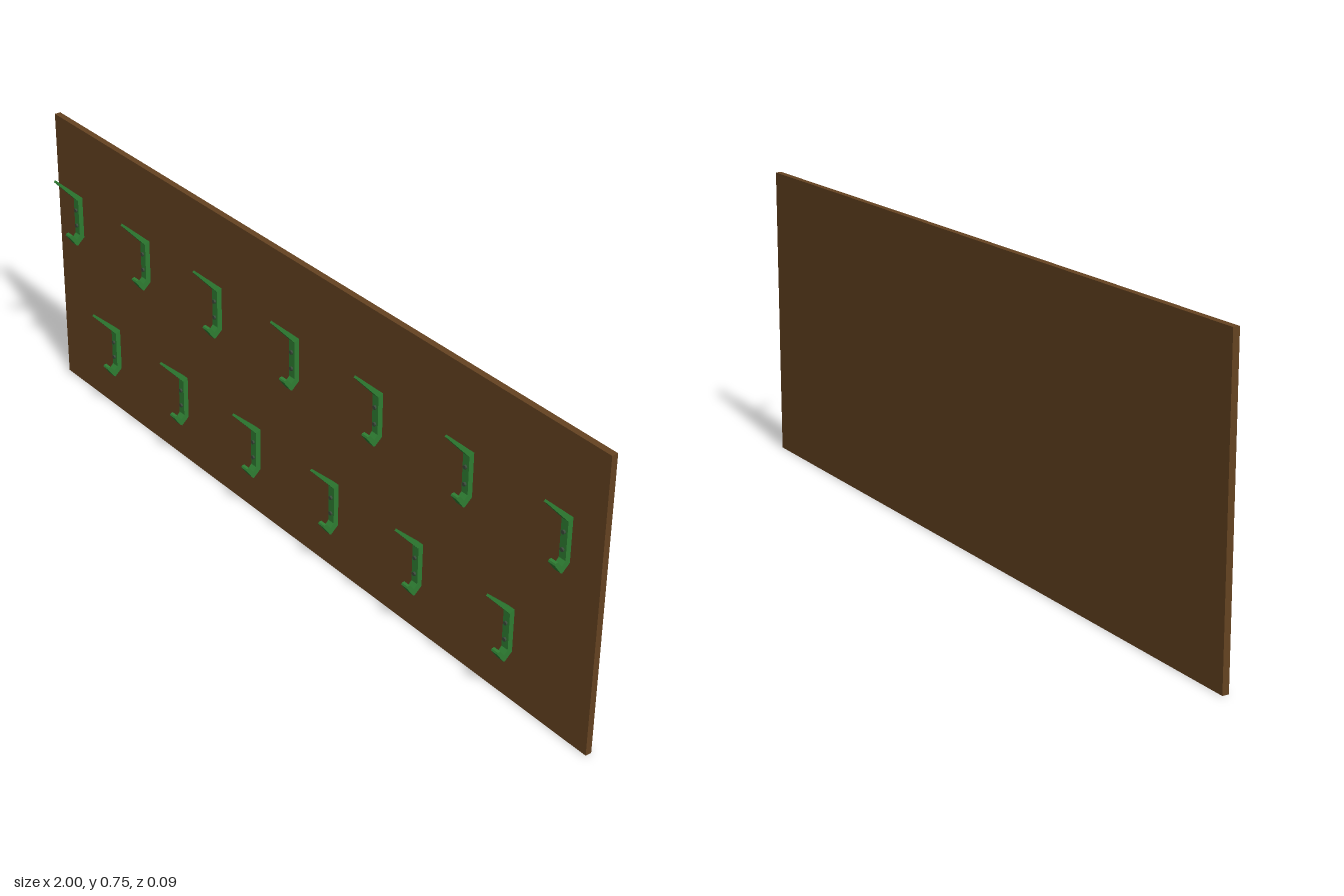
import * as THREE from 'three';

const wood = new THREE.MeshStandardMaterial({ color: 0x654321 });
const green = new THREE.MeshStandardMaterial({ color: 0x2e7d32, flatShading: true });
const dark = new THREE.MeshStandardMaterial({ color: 0x3a4a3a });

// Side outline of a hook as [z, y], y measured from the foot of the hook
const outline = [
  [-0.028, 0.018], [-0.008, 0], [-0.004, 0.002], [0.015, 0.029], [0.013, 0.033], [0.006, 0.034],
  [-0.006, 0.018], [-0.015, 0.028], [-0.015, 0.124], [0.044, 0.190], [0.040, 0.194], [-0.028, 0.130],
];

function hookGeometry() {
  const width = 0.02;
  const shape = new THREE.Shape(outline.map(([z, y]) => new THREE.Vector2(z, y)));
  const geo = new THREE.ExtrudeGeometry(shape, { depth: width, bevelEnabled: false });
  geo.translate(0, 0, -width / 2).rotateY(-Math.PI / 2);
  // Narrow the upper arm towards its tip
  const p = geo.attributes.position;
  for (let i = 0; i < p.count; i++) {
    const t = THREE.MathUtils.clamp((p.getY(i) - 0.13) / 0.064, 0, 1);
    p.setX(i, p.getX(i) * (1 - 0.55 * t));
  }
  geo.computeVertexNormals();
  return geo;
}

export function createModel() {
  const model = new THREE.Group();

  // Back board
  const board = new THREE.Mesh(new THREE.BoxGeometry(2, 0.75, 0.016), wood);
  board.name = 'board';
  board.position.set(0, 0.375, -0.036);
  model.add(board);

  const hookGeo = hookGeometry();
  const screwGeo = new THREE.CylinderGeometry(0.005, 0.005, 0.008, 12).rotateX(Math.PI / 2);

  // Staggered rows of coat hooks, each with two screws
  for (const [count, y] of [[7, 0.428], [6, 0.11]]) {
    for (let i = 0; i < count; i++) {
      const coatHook = new THREE.Group();
      coatHook.name = 'coatHook';
      const body = new THREE.Mesh(hookGeo, green);
      body.name = 'hookBody';
      coatHook.add(body);
      for (const sy of [0.052, 0.095]) {
        const screw = new THREE.Mesh(screwGeo, dark);
        screw.name = 'screw';
        screw.position.set(0, sy, -0.0145);
        coatHook.add(screw);
      }
      coatHook.position.set((i - (count - 1) / 2) * 0.3, y, 0);
      model.add(coatHook);
    }
  }
  return model;
}
